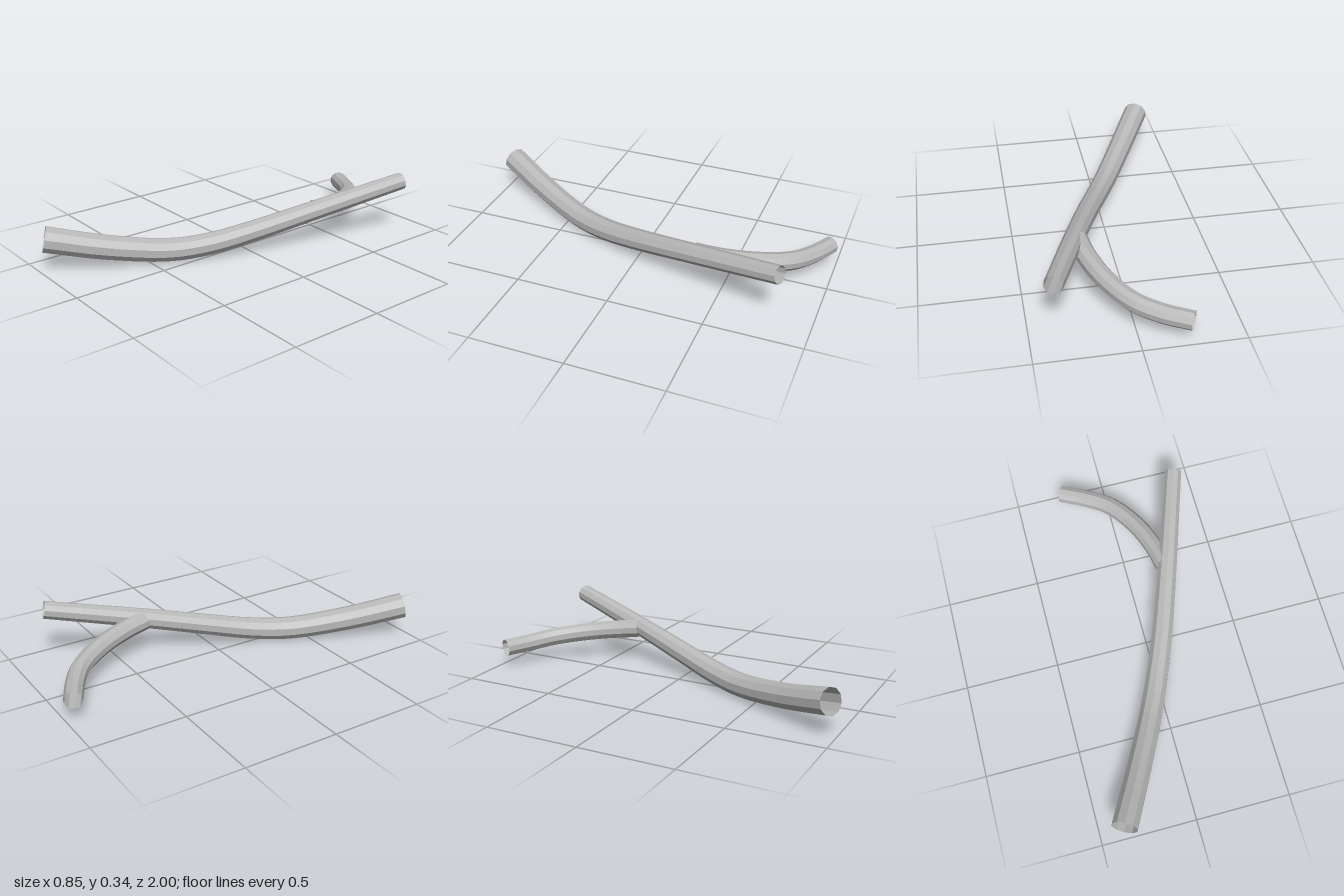
import * as THREE from 'three';

// Open faceted tube along a smooth path, tapering from r0 to r1
function limb(name, points, r0, r1, segments, material) {
  const curve = new THREE.CatmullRomCurve3(points.map(p => new THREE.Vector3(...p)));
  const sides = 10;
  const geometry = new THREE.TubeGeometry(curve, segments, 1, sides, false);
  const pos = geometry.attributes.position;
  const v = new THREE.Vector3();
  for (let i = 0; i <= segments; i++) {
    const centre = curve.getPointAt(i / segments);
    const radius = THREE.MathUtils.lerp(r0, r1, i / segments);
    for (let j = 0; j <= sides; j++) {
      const k = i * (sides + 1) + j;
      v.fromBufferAttribute(pos, k).sub(centre).multiplyScalar(radius).add(centre);
      pos.setXYZ(k, v.x, v.y, v.z);
    }
  }
  const mesh = new THREE.Mesh(geometry, material);
  mesh.name = name;
  return mesh;
}

export function createModel() {
  const group = new THREE.Group();
  group.name = 'forkedBranch';
  const grey = new THREE.MeshStandardMaterial({
    name: 'grey', color: 0xb8b8b8, flatShading: true, side: THREE.DoubleSide,
  });

  // Long main stem, thick at the front and thinner at the back
  group.add(limb('mainStem', [
    [-0.37, 0.178, 0.966], [-0.225, 0.11, 0.69], [-0.08, 0.068, 0.4],
    [0.01, 0.082, 0.2], [0.09, 0.122, 0], [0.215, 0.2, -0.35], [0.377, 0.303, -0.83],
  ], 0.069, 0.047, 32, grey));

  // Side shoot leaving the stem and curving across the back
  group.add(limb('sideShoot', [
    [0.195, 0.193, -0.35], [0.175, 0.18, -0.46], [0.115, 0.158, -0.63],
    [0.005, 0.133, -0.80], [-0.115, 0.118, -0.89], [-0.245, 0.113, -0.959],
  ], 0.052, 0.047, 24, grey));

  return group;
}
